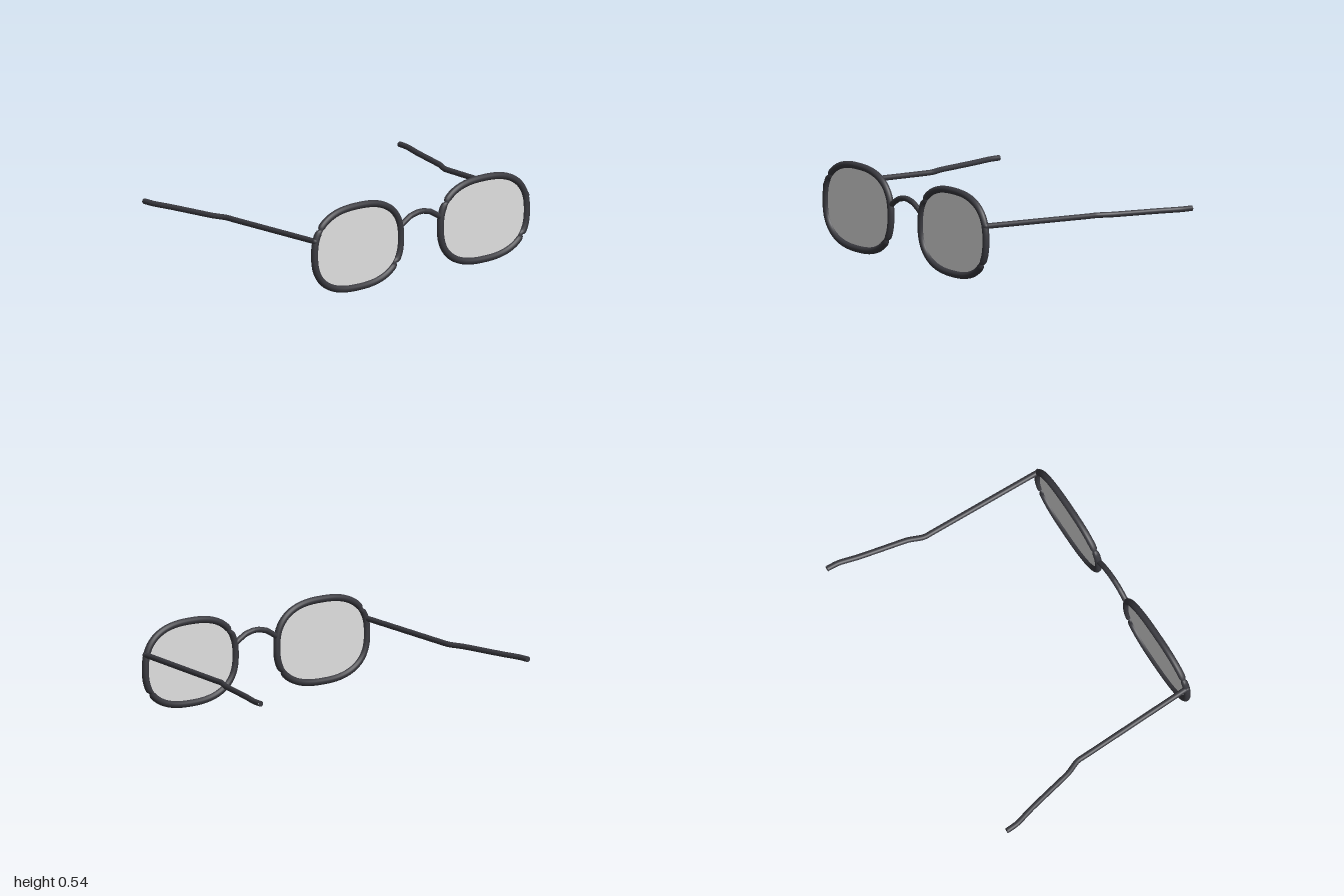
import * as THREE from 'three';

const frameMat = new THREE.MeshStandardMaterial({ color: 0x39393f });
frameMat.name = 'dark frame';
const lensMat = new THREE.MeshStandardMaterial({ color: 0xe0e0e0, side: THREE.DoubleSide });
lensMat.name = 'pale grey lens';

const FRONT_Z = 0.68, EYE_X = 0.484, EYE_Y = 0.271;

function mesh(name, geometry, material) {
  const m = new THREE.Mesh(geometry, material);
  m.name = name;
  return m;
}

// 1 at the two joints where the rim halves meet, falling quickly to 0
function jointAt(angle) {
  const t = (angle + Math.PI * 2) % (Math.PI * 2);
  return [2.67, 2.67 + Math.PI].reduce((sum, joint) => sum + Math.exp(-(((t - joint) / 0.04) ** 2)), 0);
}

// Rounded-rectangle eye outline, nicked slightly inward at the joints
function eyeOutline() {
  const a = 0.331, b = 0.25, n = 2.5, count = 120, pts = [];
  for (let i = 0; i < count; i++) {
    const t = (i / count) * Math.PI * 2;
    const c = Math.cos(t), s = Math.sin(t);
    const r = Math.pow(Math.pow(Math.abs(c / a), n) + Math.pow(Math.abs(s / b), n), -1 / n) - 0.008 * jointAt(t);
    pts.push(new THREE.Vector3(c * r, s * r, 0));
  }
  return pts;
}

// Closed rim tube, pinched thinner at the joints
function rimGeometry(outline) {
  const rows = 200, sides = 14;
  const path = new THREE.CatmullRomCurve3(outline, true);
  const geo = new THREE.TubeGeometry(path, rows, 0.021, sides, true);
  const pos = geo.attributes.position, v = new THREE.Vector3();
  for (let i = 0; i < pos.count; i++) {
    const centre = path.getPointAt((Math.floor(i / (sides + 1)) % rows) / rows);
    const pinch = 1 - 0.4 * jointAt(Math.atan2(centre.y, centre.x));
    v.fromBufferAttribute(pos, i).sub(centre).multiplyScalar(pinch).add(centre);
    pos.setXYZ(i, v.x, v.y, v.z);
  }
  return geo;
}

function wire(points, radius, tension) {
  const path = new THREE.CatmullRomCurve3(points.map(p => new THREE.Vector3(...p)), false, 'catmullrom', tension);
  return new THREE.TubeGeometry(path, 60, radius, 12, false);
}

export function createModel() {
  const model = new THREE.Group();
  model.name = 'eyeglasses';

  // Rims and lenses
  const outline = eyeOutline();
  const rimGeo = rimGeometry(outline);
  const lensGeo = new THREE.ShapeGeometry(new THREE.Shape(outline.map(p => new THREE.Vector2(p.x, p.y))));
  for (const side of [-1, 1]) {
    const eye = new THREE.Group();
    eye.name = side > 0 ? 'leftEye' : 'rightEye';
    eye.add(mesh('rim', rimGeo, frameMat), mesh('lens', lensGeo, lensMat));
    eye.position.set(side * EYE_X, EYE_Y, FRONT_Z);
    model.add(eye);
  }

  // Arched nose bridge with soft bends
  model.add(mesh('bridge', wire([
    [-0.15, 0.34, FRONT_Z], [-0.125, 0.357, FRONT_Z], [-0.075, 0.386, FRONT_Z], [-0.02, 0.399, FRONT_Z],
    [0.02, 0.399, FRONT_Z], [0.075, 0.386, FRONT_Z], [0.125, 0.357, FRONT_Z], [0.15, 0.34, FRONT_Z],
  ], 0.017, 0.15), frameMat));

  // Temple arms, splayed outward behind the ears, with closed ends
  for (const s of [-1, 1]) {
    const arm = new THREE.Group();
    arm.name = s > 0 ? 'leftTemple' : 'rightTemple';
    arm.add(mesh('arm', wire([
      [s * 0.812, 0.358, 0.68], [s * 0.815, 0.357, 0.6], [s * 0.836, 0.343, -0.02], [s * 0.84, 0.342, -0.11],
      [s * 0.876, 0.342, -0.2], [s * 0.91, 0.342, -0.35], [s * 0.944, 0.342, -0.5],
      [s * 0.977, 0.342, -0.62], [s * 0.983, 0.342, -0.699],
    ], 0.017, 0.3), frameMat));
    const tip = mesh('tip', new THREE.CircleGeometry(0.017, 12), frameMat);
    tip.position.set(s * 0.983, 0.342, -0.699);
    tip.rotation.y = Math.PI;
    const hinge = mesh('hinge', new THREE.SphereGeometry(0.02, 14, 10), frameMat);
    hinge.position.set(s * 0.812, 0.358, 0.68);
    arm.add(tip, hinge);
    model.add(arm);
  }
  return model;
}
